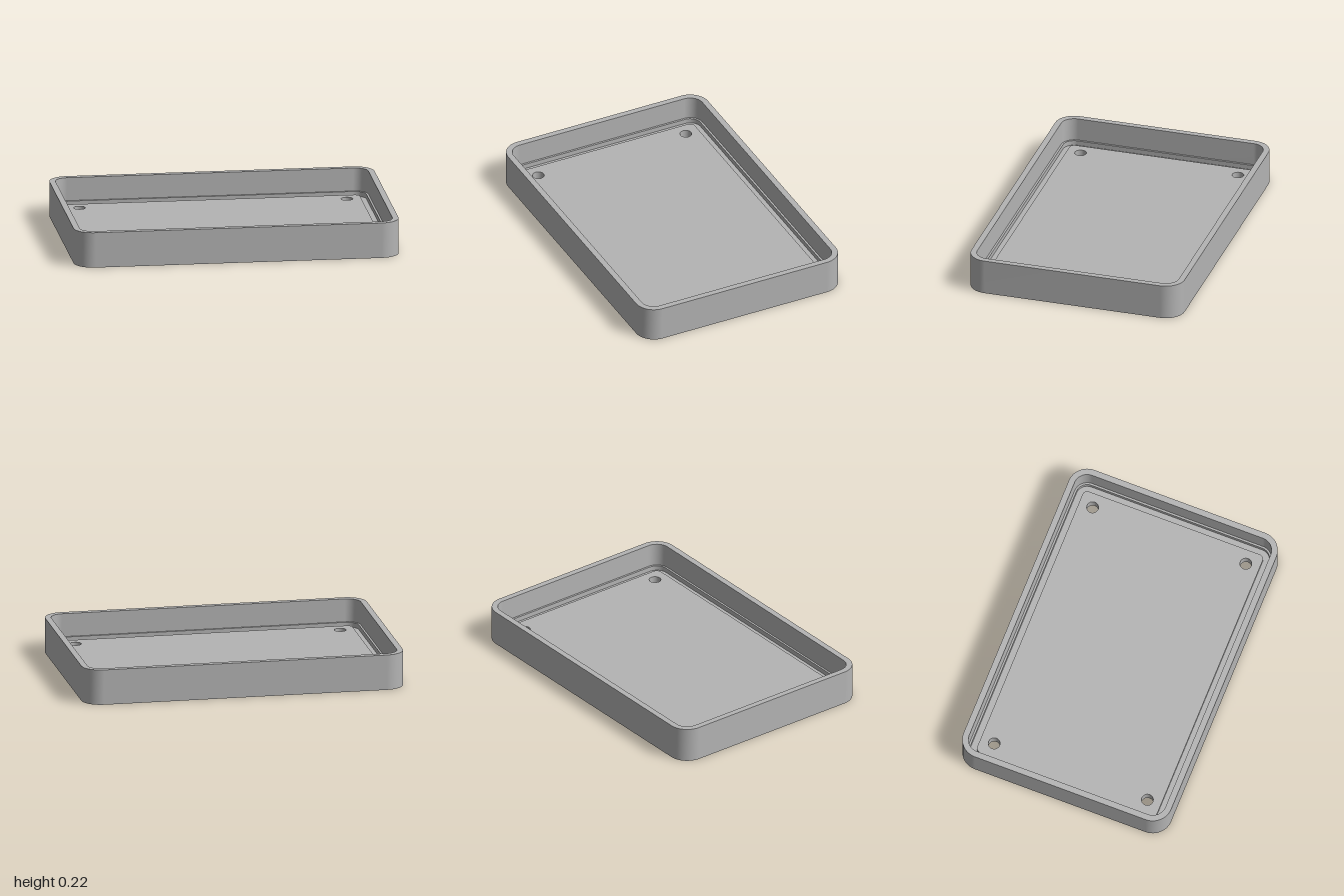
import * as THREE from 'three';

const HX = 1, HZ = 0.68, CORNER = 0.12, HEIGHT = 0.22;
const FLOOR = 0.065, HOLE_R = 0.036, HOLE_X = 0.823, HOLE_Z = 0.502;

// Rounded rectangle outline as [x, z] pairs, eight segments or more per corner
function outline(hx, hz, r, steps = 12) {
  const points = [];
  const corners = [[1, 1], [-1, 1], [-1, -1], [1, -1]];
  corners.forEach(([sx, sz], c) => {
    for (let i = 0; i <= steps; i++) {
      const a = (c + i / steps) * Math.PI / 2;
      points.push([sx * (hx - r) + Math.cos(a) * r, sz * (hz - r) + Math.sin(a) * r]);
    }
  });
  return points;
}

const trayOutline = (inset) => outline(HX - inset, HZ - inset, CORNER - inset);
const holeOutline = outline(HOLE_R, HOLE_R, HOLE_R, 8);

// Closed band of faces between two matching outlines at two heights
function band(from, y0, to, y1) {
  const positions = [], index = [], n = from.length;
  for (let i = 0; i < n; i++) {
    positions.push(from[i][0], y0, from[i][1], to[i][0], y1, to[i][1]);
    const a = 2 * i, b = 2 * ((i + 1) % n);
    index.push(a, a + 1, b, b, a + 1, b + 1);
  }
  const geometry = new THREE.BufferGeometry();
  geometry.setAttribute('position', new THREE.Float32BufferAttribute(positions, 3));
  geometry.setIndex(index);
  geometry.computeVertexNormals();
  return geometry;
}

const holeCentres = [[1, 1], [-1, 1], [-1, -1], [1, -1]].map(([x, z]) => [x * HOLE_X, z * HOLE_Z]);

// Flat plate outline pierced by the four screw holes
function plate(inset, y, facing) {
  const toVectors = (pts, cx = 0, cz = 0) => pts.map(([x, z]) => new THREE.Vector2(x + cx, z + cz));
  const shape = new THREE.Shape(toVectors(trayOutline(inset)));
  for (const [cx, cz] of holeCentres) shape.holes.push(new THREE.Path(toVectors(holeOutline, cx, cz)));
  return new THREE.ShapeGeometry(shape).rotateX(-facing * Math.PI / 2).translate(0, y, 0);
}

export function createModel() {
  const group = new THREE.Group();
  group.name = 'tray';
  const grey = new THREE.MeshStandardMaterial({ color: 0xb4b4b4 });
  grey.name = 'grey';

  const add = (name, geometry) => {
    const mesh = new THREE.Mesh(geometry, grey);
    mesh.name = name;
    group.add(mesh);
    return mesh;
  };

  // Wall section as [inset, height], from the outer foot over the rim to the raised floor
  const section = [
    [0, 0], [0, HEIGHT], [0.0375, HEIGHT], [0.0375, 0.075],
    [0.05, 0.075], [0.05, 0.045], [0.09, 0.045], [0.09, FLOOR],
  ];
  const names = ['outerWall', 'rim', 'innerWall', 'innerStep', 'grooveWall', 'grooveBottom', 'floorEdge'];
  names.forEach((name, i) => {
    const [inset0, y0] = section[i], [inset1, y1] = section[i + 1];
    add(name, band(trayOutline(inset0), y0, trayOutline(inset1), y1));
  });

  // Floor and underside
  add('floor', plate(0.09, FLOOR, 1));
  add('underside', plate(0, 0, -1));

  // Screw hole linings
  for (const [x, z] of holeCentres) {
    add('screwHole', band(holeOutline, FLOOR, holeOutline, 0)).position.set(x, 0, z);
  }
  return group;
}
